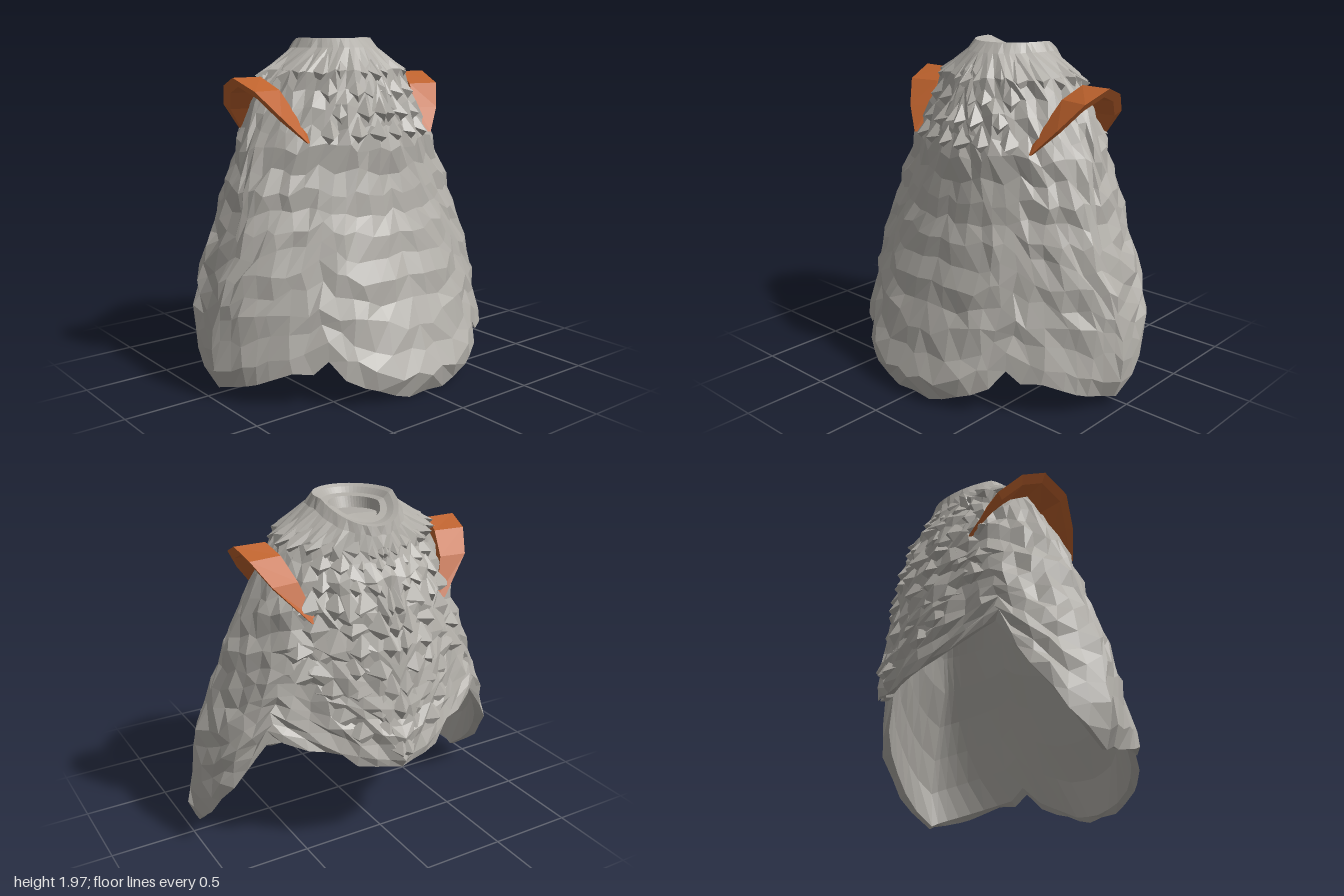
import * as THREE from 'three';

const fur = new THREE.MeshStandardMaterial({ color: 0xb0ada7, flatShading: true, side: THREE.DoubleSide });
fur.name = 'grey fur';
const orange = new THREE.MeshStandardMaterial({ color: 0xbe622d, flatShading: true, side: THREE.DoubleSide });
orange.name = 'burnt orange';

// repeatable noise in -1..1
function noise(a, b, c = 0) {
  const s = Math.sin(a * 127.1 + b * 311.7 + c * 74.7) * 43758.5453;
  return 2 * (s - Math.floor(s)) - 1;
}

// linear lookup in a table sorted by its first column
function lookup(table, k) {
  if (k <= table[0][0]) return table[0].slice(1);
  for (let i = 1; i < table.length; i++) {
    const a = table[i - 1], b = table[i];
    if (k <= b[0]) {
      const t = (k - a[0]) / (b[0] - a[0]);
      return a.slice(1).map((v, n) => v + (b[n + 1] - v) * t);
    }
  }
  return table[table.length - 1].slice(1);
}

// height, half width, front z, back z
const profile = [
  [0, 0.95, 0.72, -0.74], [0.1, 0.97, 0.75, -0.74], [0.2, 0.99, 0.73, -0.74], [0.4, 0.97, 0.64, -0.74],
  [0.6, 0.93, 0.57, -0.73], [0.8, 0.87, 0.5, -0.71], [1.0, 0.79, 0.43, -0.68], [1.2, 0.74, 0.385, -0.65],
  [1.4, 0.66, 0.365, -0.61], [1.5, 0.61, 0.35, -0.58], [1.7, 0.51, 0.28, -0.5], [1.8, 0.45, 0.24, -0.47],
  [1.86, 0.35, 0.19, -0.46], [1.91, 0.27, 0.15, -0.46], [1.975, 0.23, 0.08, -0.45],
];
// angle from the front in degrees, height of the hem
const hem = [
  [0, 0.01], [12, 0.03], [20, 0.09], [30, 0.16], [35, 0.2], [38.5, 0.28], [42, 0.21], [50, 0.19], [70, 0.12],
  [90, 0.05], [94, 0.1], [103, 0.24], [111, 0.38], [121, 0.54], [124, 0.64], [128.5, 0.77], [140, 0.7],
  [155, 0.61], [180, 0.51],
];
const hemAt = (deg) => lookup(hem, deg)[0];
// angle, roundness of the lower section there (below 1 is boxy, above 1 is pointed)
const roundness = [[0, 1], [22, 1], [45, 1.25], [85, 1.25], [95, 0.87], [120, 0.87], [145, 1.2], [180, 1.2]];

// point on the cape at an angle and height, scaled about the section's centre
function capePoint(deg, y, scale = 1, push = 0) {
  const [w, f, b] = lookup(profile, y);
  const k = THREE.MathUtils.clamp((y - 0.9) / 0.7, 0, 1);
  const zc = 0.03 - 0.205 * THREE.MathUtils.clamp((y - 0.9) / 0.9, 0, 1);
  const s = Math.sin(deg * Math.PI / 180), c = Math.cos(deg * Math.PI / 180);
  const upper = 1.2 - 0.2 * THREE.MathUtils.clamp((y - 1.75) / 0.15, 0, 1);
  const e = THREE.MathUtils.lerp(lookup(roundness, Math.abs(deg))[0], upper, k);
  const x = (w * scale + push) * Math.sign(s) * Math.abs(s) ** e;
  const depth = (c > 0 ? f - zc : zc - b) * scale + push;
  const z = zc + depth * Math.sign(c) * Math.abs(c) ** e;
  // the collar slopes down toward the back
  const tilt = THREE.MathUtils.clamp((y - 1.6) / 0.35, 0, 1) * 0.5 * Math.max(0, -0.2 - z);
  return new THREE.Vector3(x, y - tilt, z);
}

function meshFrom(name, points, material) {
  const geometry = new THREE.BufferGeometry().setFromPoints(points);
  geometry.computeVertexNormals();
  const mesh = new THREE.Mesh(geometry, material);
  mesh.name = name;
  return mesh;
}

// grid of rings: neck pit, funnel rim, outside, hem, lining
function cape() {
  const N = 56, M = 16;
  const rings = [
    [1.86, 0.002], [1.86, 0.38], [1.92, 0.53], [1.93, 0.68], [1.96, 0.86], [1.975, 1],
  ].map(([y, s]) => (d) => capePoint(d, y, s));
  for (let j = 0; j <= M; j++) rings.push((d, k) => {
    const low = hemAt(d), top = 1.92, base = 0.15;
    const inside = j > 0 && k > 0 && k < N / 2;
    const t = Math.min(1, (j + (j > 0 && j < M ? noise(k, j) * 0.28 : 0)) / M);
    const y = top + (base - top) * t + (low - base) * t * t;
    const rough = j < 1 ? 0.008 : y > 1.3 || d > 130 ? 0.022 : d > 45 ? 0.02 : 0.012;
    const ragged = j === M ? noise(k, 5) * 0.02 : 0;
    const shingle = j > 0 ? (j % 2 - 0.5) * 0.014 : 0;
    return capePoint(d + (inside ? noise(k, j, 3) * 1.5 : 0), Math.max(0, y + ragged), 1, shingle + noise(k, j, 7) * rough);
  });
  for (let j = 0; j <= 8; j++) rings.push((d) => {
    const low = hemAt(d) + 0.015;
    return capePoint(d, low + (1.8 - low) * j / 8, 1, -0.05);
  });
  rings.push((d) => capePoint(d, 1.81, 0.002));

  const point = (r, i) => {
    const k = Math.min(i % N, N - (i % N));
    const p = rings[r](k * 360 / N, k);
    if (i % N > N / 2) p.x *= -1;
    return p;
  };
  const tris = [];
  for (let r = 0; r < rings.length - 1; r++) {
    for (let i = 0; i < N; i++) {
      const a = point(r, i), b = point(r + 1, i), c = point(r + 1, i + 1), d = point(r, i + 1);
      if (i < N / 2) tris.push(a, b, c, a, c, d);
      else tris.push(a, b, d, b, c, d);
    }
  }
  return meshFrom('cape', tris, fur);
}

// chunky overlapping locks over the shoulders, chest and back
function furTufts() {
  const tris = [];
  const flip = (p) => new THREE.Vector3(-p.x, p.y, p.z);
  for (let row = 0; row < 11; row++) {
    const y = 1.81 - row * 0.115;
    for (let n = 0; n < 14; n++) {
      const deg = n * 14 + (row % 2) * 7 + noise(n, row) * 2.5;
      const front = deg < 40, back = deg > 128;
      const lowest = front ? 1.42 : back ? Math.max(hemAt(Math.min(deg, 180)) + 0.1, 2.9 - deg / 75) : 1.72;
      if (y < lowest || deg > 183) continue;
      const wide = 7 + noise(n, row, 1) * 1.5;
      const bulge = front && y < 1.62 && deg < 30 ? 0.065 : 0.035;
      const top = capePoint(deg, y + 0.08, 1, -0.005);
      const left = capePoint(deg - wide, y - 0.01, 1, -0.008);
      const right = capePoint(deg + wide, y - 0.01, 1, -0.008);
      const tip = capePoint(deg + noise(n, row, 2) * 3, y - 0.03 + noise(n, row, 6) * 0.02, 1, bulge + noise(n, row, 4) * 0.02);
      const under = capePoint(deg, y - 0.08, 1, -0.008);
      for (const [a, b, c] of [[top, left, tip], [top, tip, right], [left, under, tip], [under, right, tip]]) {
        tris.push(a, b, c, flip(a), flip(c), flip(b));
      }
    }
  }
  return meshFrom('furTufts', tris, fur);
}

// crescent plate arching over one shoulder
function shoulderArch(side) {
  // outer x, inner x, height, outer z, inner z
  const stations = [
    [0.46, 0.42, 1.41, 0.23, 0.21], [0.58, 0.45, 1.55, 0.15, 0.11], [0.68, 0.49, 1.69, 0.04, 0.0],
    [0.715, 0.53, 1.76, -0.13, -0.13], [0.69, 0.5, 1.71, -0.27, -0.25], [0.62, 0.46, 1.59, -0.39, -0.37],
    [0.43, 0.39, 1.38, -0.47, -0.45],
  ];
  const heart = new THREE.Vector3(0.48, 1.42, -0.13);
  const loops = stations.map(([ox, ix, y, oz, iz], n) => {
    const o = new THREE.Vector3(ox, y, oz), i = new THREE.Vector3(ix, y, iz);
    const thick = n % 6 === 0 ? 0.05 : 0.15;
    return [o, i, i.clone().lerp(heart, thick), o.clone().lerp(heart, thick)];
  });
  const tris = [];
  const quad = (a, b, c, d) => tris.push(a, b, c, a, c, d);
  for (let n = 0; n < loops.length - 1; n++) {
    for (let e = 0; e < 4; e++) {
      const f = (e + 1) % 4;
      quad(loops[n][e], loops[n + 1][e], loops[n + 1][f], loops[n][f]);
    }
  }
  quad(...loops[0]);
  quad(...loops[loops.length - 1].slice().reverse());
  // mirrored copy keeps its faces outward by reversing each corner order
  const points = side > 0 ? tris : tris.map((p) => new THREE.Vector3(-p.x, p.y, p.z)).reverse();
  return meshFrom(side > 0 ? 'leftShoulderArch' : 'rightShoulderArch', points, orange);
}

export function createModel() {
  const model = new THREE.Group();
  model.name = 'furCape';
  model.add(cape(), furTufts(), shoulderArch(1), shoulderArch(-1));
  return model;
}
